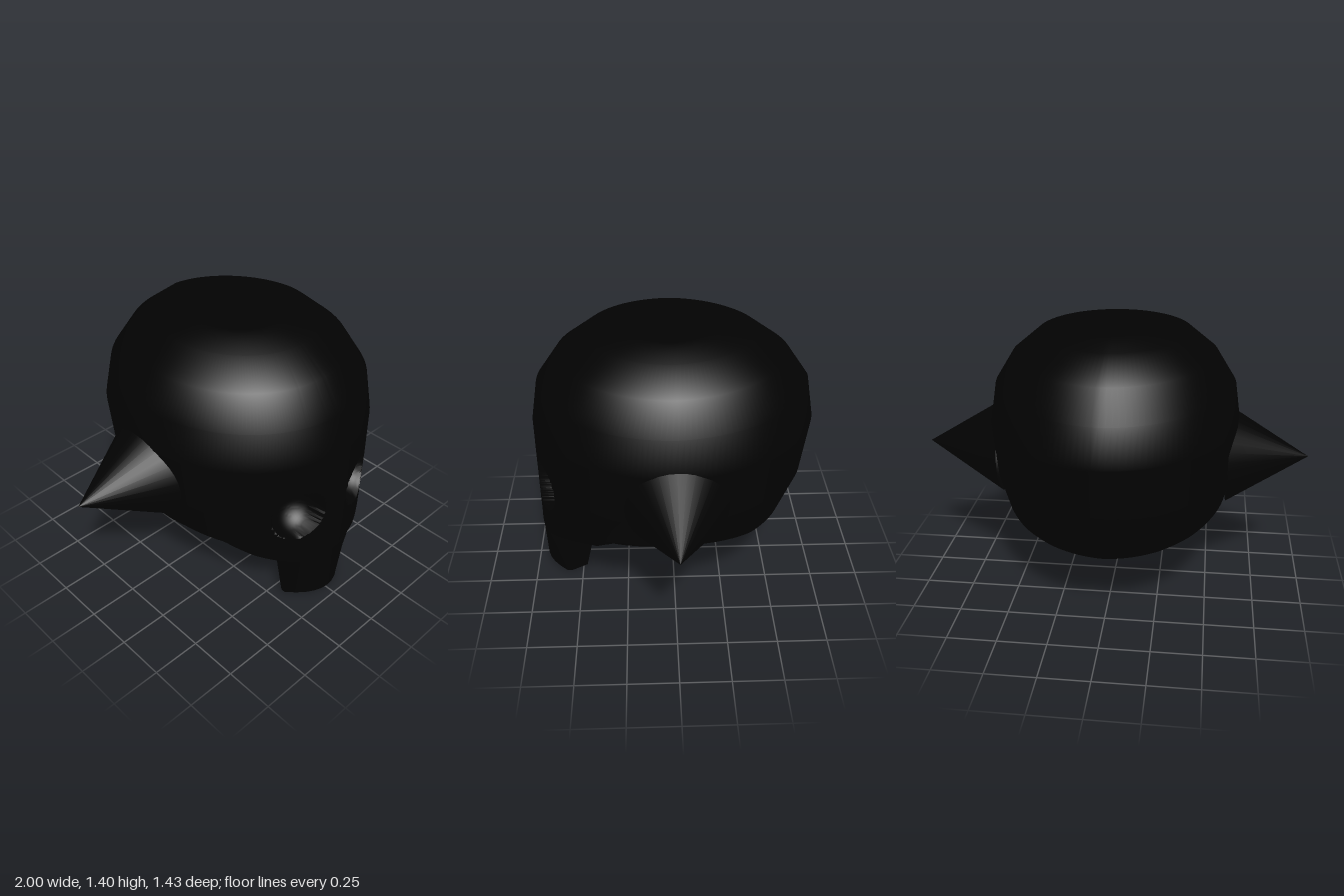
import * as THREE from 'three';
import { toCreasedNormals } from 'three/addons/utils/BufferGeometryUtils.js';

const RX = 0.64, RZ = 0.715, WIDEST = 0.92;
const EYE = { x: 0.215, y: 0.612 };
const { lerp, smoothstep, clamp } = THREE.MathUtils;

// Piecewise-linear lookup through [key, value] pairs
function lookup(points, k) {
  for (let i = 1; i < points.length; i++) {
    const [k0, v0] = points[i - 1], [k1, v1] = points[i];
    if (k <= k1) return v0 + (v1 - v0) * Math.max(0, (k - k0) / (k1 - k0));
  }
  return points[points.length - 1][1];
}

// Dome profile [height, radius factor] and rim heights [angle from front, height]
const lower = [[0.3, 0.66], [0.36, 0.73], [0.43, 0.81], [0.65, 0.94], [WIDEST, 1]];
const upper = [[1.4, 0], [1.4, 0.35], [1.37, 0.605], [1.26, 0.81], [1.11, 0.955]];
const outerRim = [[0, 0.3], [0.35, 0.31], [0.67, 0.39], [0.9, 0.47], [1.2, 0.5], [1.57, 0.5], [2, 0.46], [2.6, 0.39], [Math.PI, 0.36]];
const innerRim = [[0, 0.22], [0.48, 0.22], [0.67, 0.26], [0.96, 0.365], [1.17, 0.385], [1.57, 0.4], [2.05, 0.375], [2.6, 0.33], [Math.PI, 0.305]];

function shellPoint(angle, y, factor, inner) {
  const cos = Math.cos(angle), sin = Math.sin(angle);
  // The wall thickens towards the cheeks
  const cheek = 0.12 * Math.max(0, cos) * (1 - smoothstep(y, 0.25, 0.5));
  // The back corners are slimmer above and fuller below
  const corner = Math.max(0, -2 * Math.abs(sin) * cos) * clamp((y - 0.65) * 0.07, -0.015, 0.03);
  const f = Math.max(0, factor - corner - (inner ? 0.15 + cheek : 0));
  const x = RX * f * sin;
  let z = RZ * f * cos;
  if (inner && y > WIDEST) y = WIDEST + (y - WIDEST) * 0.8;
  // Spherical eye sockets pressed into the face, bulging on the inside
  const r = inner ? 0.174 : 0.135;
  const d = Math.hypot(Math.abs(x) - EYE.x, y - EYE.y);
  if (z > 0 && d < r) z = Math.min(z, (inner ? 0.59 : 0.66) - Math.sqrt(r * r - d * d));
  return [x, y, z];
}

// Closed thick shell: down the outside, round the rim, up the inside
function shellGeometry() {
  const columns = 192, rows = 80;
  const positions = [], index = [];
  let rings = 0;
  for (let c = 0; c < columns; c++) {
    const u = (c / columns) * Math.PI * 2;
    const angle = u - 0.5 * Math.sin(u); // denser columns at the face
    const side = Math.min(angle, Math.PI * 2 - angle);
    const front = smoothstep(Math.cos(angle), -0.95, 1.15);
    const half = (inner) => {
      const rim = lookup(inner ? innerRim : outerRim, side);
      const pts = upper.map(([y, f]) => (f ? shellPoint(angle, y, f, inner) : shellPoint(0, y, 0, inner)));
      for (let i = 0; i <= rows; i++) {
        const y = lerp(WIDEST, rim, i / rows);
        pts.push(shellPoint(angle, y, lerp(lookup(lower, y), 1, front), inner));
      }
      return pts;
    };
    const column = [...half(false), ...half(true).reverse()];
    rings = column.length;
    positions.push(...column.flat());
  }
  for (let c = 0; c < columns; c++) {
    const a = c * rings, b = ((c + 1) % columns) * rings;
    for (let i = 0; i < rings - 1; i++) {
      if (i > 0) index.push(a + i, a + i + 1, b + i);
      if (i < rings - 2) index.push(a + i + 1, b + i + 1, b + i);
    }
  }
  const geo = new THREE.BufferGeometry();
  geo.setAttribute('position', new THREE.Float32BufferAttribute(positions, 3));
  geo.setIndex(index);
  return toCreasedNormals(geo, 0.6);
}

// Mouth guard: rounded front, chamfered back
function guardGeometry() {
  const height = 0.3, outline = [];
  for (let i = 0; i <= 10; i++) {
    const x = -0.2 + 0.04 * i;
    outline.push(new THREE.Vector2(x, -RZ * Math.sqrt(1 - (x / RX) ** 2)));
  }
  for (const [x, z] of [[0.2, 0.56], [0.13, 0.48], [-0.13, 0.48], [-0.2, 0.56]]) {
    outline.push(new THREE.Vector2(x, -z));
  }
  const geo = new THREE.ExtrudeGeometry(new THREE.Shape(outline), { depth: height, bevelEnabled: false });
  geo.rotateX(-Math.PI / 2);
  const p = geo.attributes.position;
  for (let i = 0; i < p.count; i++) {
    const x = p.getX(i), y = p.getY(i), z = p.getZ(i);
    const drop = 1 - y / height;
    // The back leans rearward with height; the front rounds off more at the bottom
    if (z < 0.5) p.setZ(i, z - 0.22 * y);
    else {
      if (z > 0.6) p.setZ(i, z - 0.012 * drop - (0.4 + 1.7 * drop) * x * x);
      if (y < 0.01) p.setY(i, 0.02);
    }
  }
  return toCreasedNormals(geo, 0.5);
}

export function createModel() {
  const group = new THREE.Group();
  const black = new THREE.MeshStandardMaterial({ color: 0x020202 });
  const blackOpen = new THREE.MeshStandardMaterial({ color: 0x020202, side: THREE.DoubleSide });
  const add = (name, geo, material) => {
    const mesh = new THREE.Mesh(geo, material);
    mesh.name = name;
    group.add(mesh);
    return mesh;
  };

  add('helmetShell', shellGeometry(), black);
  add('mouthGuard', guardGeometry(), black);

  // Pointed ear cones, open where they meet the shell
  for (const s of [1, -1]) {
    const cone = add(s > 0 ? 'leftEarCone' : 'rightEarCone', new THREE.ConeGeometry(0.25, 0.415, 32, 1, true), blackOpen);
    cone.rotation.z = -s * Math.PI / 2;
    cone.position.set(s * 0.7925, 0.73, 0);
  }
  return group;
}
